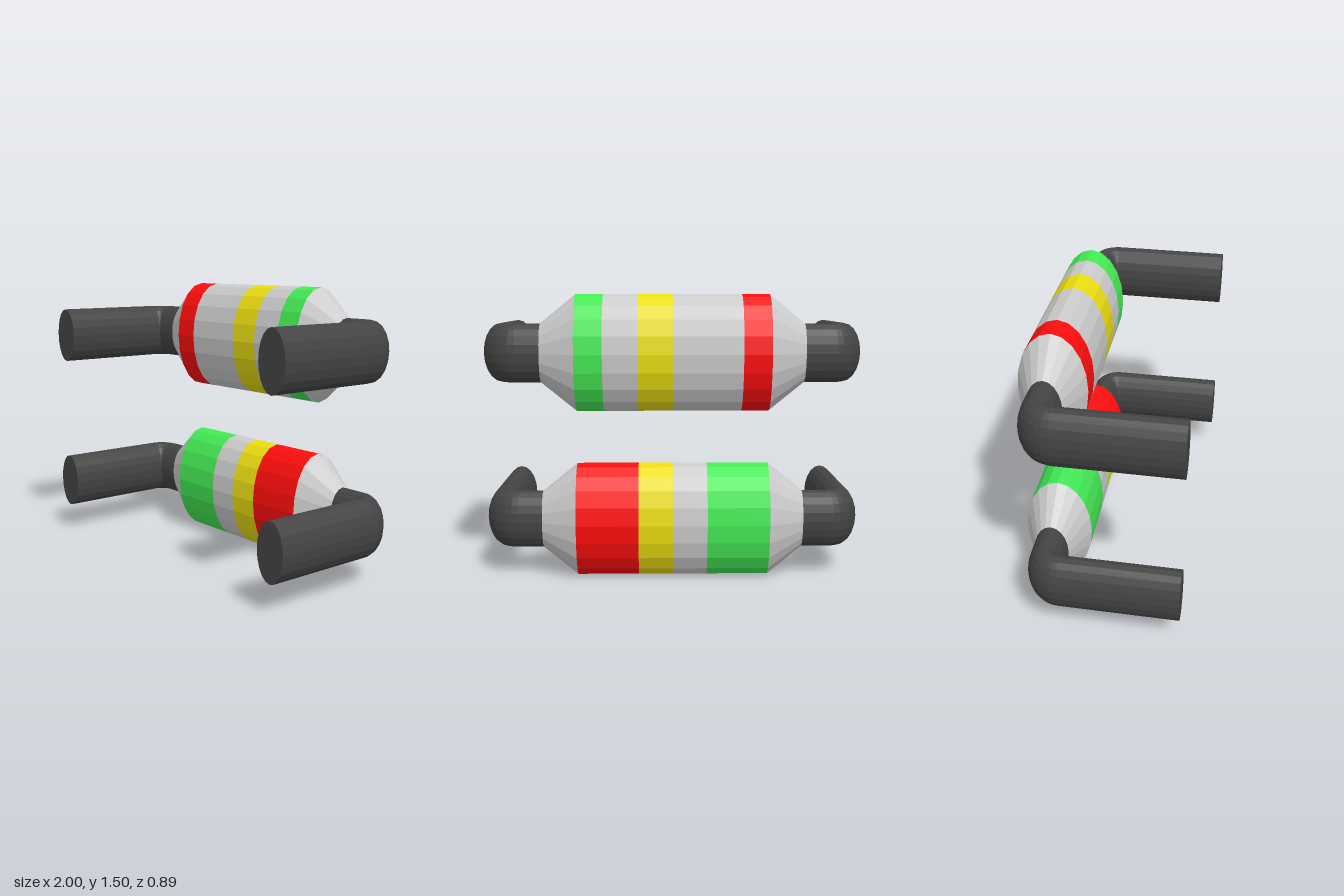
import * as THREE from 'three';
import { mergeGeometries } from 'three/addons/utils/BufferGeometryUtils.js';

const SIDES = 20;
const R = 0.09;          // pipe half width
const BODY_R = 0.178;    // body half depth
const STRETCH = 1.71;    // vertical stretch giving the oval section
const AXIS_Z = -0.266, BEND_X = 0.818, BEND_Z = AXIS_Z + 0.092, FRONT_Z = 0.446;

const GREY = 0xcccccc, RED = 0xff0d0d, YELLOW = 0xeadd10, GREEN = 0x44ea55, DARK = 0x444444;

function mesh(name, geometry, color) {
  const material = new THREE.MeshStandardMaterial({ color, flatShading: true, side: THREE.DoubleSide });
  const m = new THREE.Mesh(geometry.scale(1, STRETCH, 1), material);
  m.name = name;
  return m;
}

// Open tube along x from x0 (radius r0) to x1 (radius r1)
function sleeve(x0, x1, r0, r1) {
  return new THREE.CylinderGeometry(r1, r0, x1 - x0, SIDES, 1, true)
    .rotateZ(-Math.PI / 2)
    .translate((x0 + x1) / 2, 0, AXIS_Z);
}

// Neck, quarter bend, forward leg and end cap on one side
function pipe(side) {
  const neck = side > 0 ? sleeve(0.685, BEND_X, R, R) : sleeve(-BEND_X, -0.685, R, R);
  const bend = new THREE.TorusGeometry(0.092, R, SIDES, 8, Math.PI / 2).rotateX(-Math.PI / 2);
  if (side < 0) bend.rotateY(Math.PI / 2);
  bend.translate(side * BEND_X, 0, BEND_Z);
  const legX = side * (BEND_X + 0.092);
  const leg = new THREE.CylinderGeometry(R, R, FRONT_Z - BEND_Z, SIDES, 1, true)
    .rotateX(Math.PI / 2)
    .translate(legX, 0, (FRONT_Z + BEND_Z) / 2);
  const cap = new THREE.CircleGeometry(R, SIDES).translate(legX, 0, FRONT_Z);
  return mergeGeometries([neck, bend, leg, cap]);
}

// One handle: banded oval body, tapered ends and two bent pipes
function handle(name, y, bands) {
  const g = new THREE.Group();
  g.name = name;
  g.position.y = y;
  for (const [label, x0, x1, color] of bands) {
    g.add(mesh(label, sleeve(x0, x1, BODY_R, BODY_R), color));
  }
  g.add(mesh('rightTaper', sleeve(-0.69, -0.505, R, BODY_R), GREY));
  g.add(mesh('leftTaper', sleeve(0.505, 0.69, BODY_R, R), GREY));
  g.add(mesh('rightPipe', pipe(-1), DARK));
  g.add(mesh('leftPipe', pipe(1), DARK));
  return g;
}

export function createModel() {
  const model = new THREE.Group();
  model.name = 'bandedHandles';
  model.add(handle('upperHandle', 1.192, [
    ['redBand', -0.505, -0.36, RED],
    ['bodyRight', -0.36, 0, GREY],
    ['yellowBand', 0, 0.18, YELLOW],
    ['bodyLeft', 0.18, 0.36, GREY],
    ['greenBand', 0.36, 0.505, GREEN],
  ]));
  model.add(handle('lowerHandle', 0.305, [
    ['greenBand', -0.505, -0.18, GREEN],
    ['bodyRight', -0.18, 0, GREY],
    ['yellowBand', 0, 0.18, YELLOW],
    ['redBand', 0.18, 0.505, RED],
  ]));
  return model;
}
